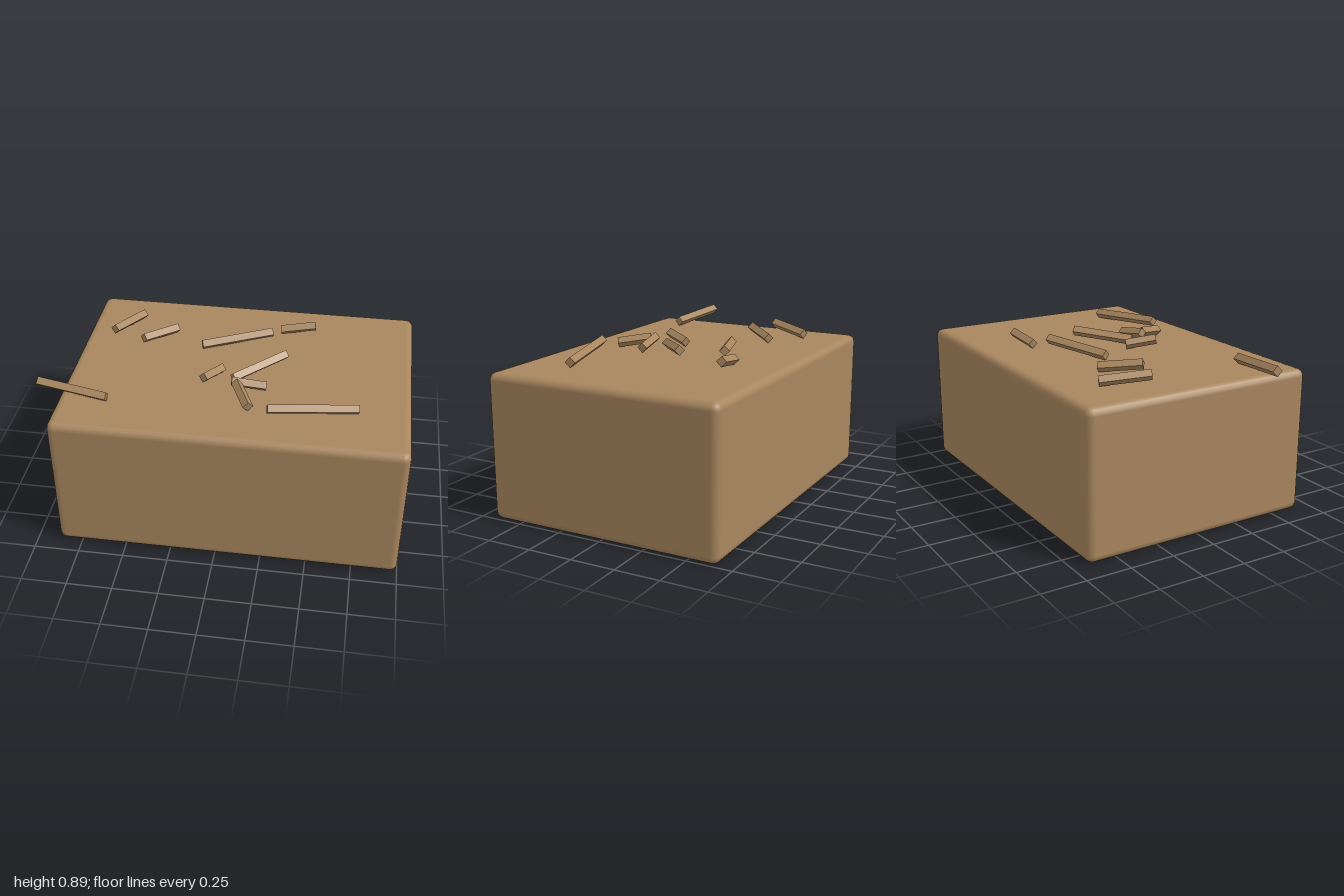
import * as THREE from 'three';
import { RoundedBoxGeometry } from 'three/addons/geometries/RoundedBoxGeometry.js';

const straw = new THREE.MeshStandardMaterial({ color: 0xa8865e });
straw.name = 'straw tan';
// flat-shaded twin of the same colour for the faceted loose pieces
const looseStraw = new THREE.MeshStandardMaterial({ color: 0xa8865e, flatShading: true });
looseStraw.name = 'loose straw tan';

// Square bar on edge between two end points
function stalk(a, b) {
  const from = new THREE.Vector3(...a), to = new THREE.Vector3(...b);
  const axis = to.clone().sub(from);
  const mesh = new THREE.Mesh(new THREE.CylinderGeometry(0.029, 0.029, axis.length(), 4), looseStraw);
  // bar axis along the span, one corner of the section facing up
  const y = axis.normalize();
  const x = new THREE.Vector3(0, 1, 0).cross(y).normalize();
  const z = x.clone().cross(y);
  mesh.quaternion.setFromRotationMatrix(new THREE.Matrix4().makeBasis(x, y, z));
  mesh.position.copy(from).add(to).multiplyScalar(0.5);
  return mesh;
}

export function createModel() {
  const model = new THREE.Group();
  model.name = 'strawBale';

  // Bale body with softened edges
  const bale = new THREE.Mesh(new RoundedBoxGeometry(1.88, 0.805, 1.34, 2, 0.042), straw);
  bale.position.set(0.06, 0.4025, 0);
  bale.name = 'bale';
  model.add(bale);

  // Loose stalks on top: high end, then low end
  const hi = 0.864, lo = 0.836;
  const ends = [
    [-0.995, 0.37, -0.609, 0.424],
    [-0.71, -0.2, -0.59, -0.44],
    [-0.525, -0.13, -0.365, -0.31],
    [0.195, -0.3, -0.19, -0.155],
    [0.435, -0.402, 0.237, -0.38],
    [0.295, -0.08, 0.03, 0.15],
    [-0.123, 0.215, -0.043, 0.065],
    [0.032, 0.224, 0.217, 0.203],
    [0.06, 0.235, 0.145, 0.405],
    [0.25, 0.446, 0.72, 0.342],
  ];
  ends.forEach(([x1, z1, x2, z2], i) => {
    const s = stalk([x1, hi, z1], [x2, lo, z2]);
    s.name = `looseStalk${i + 1}`;
    model.add(s);
  });
  return model;
}
